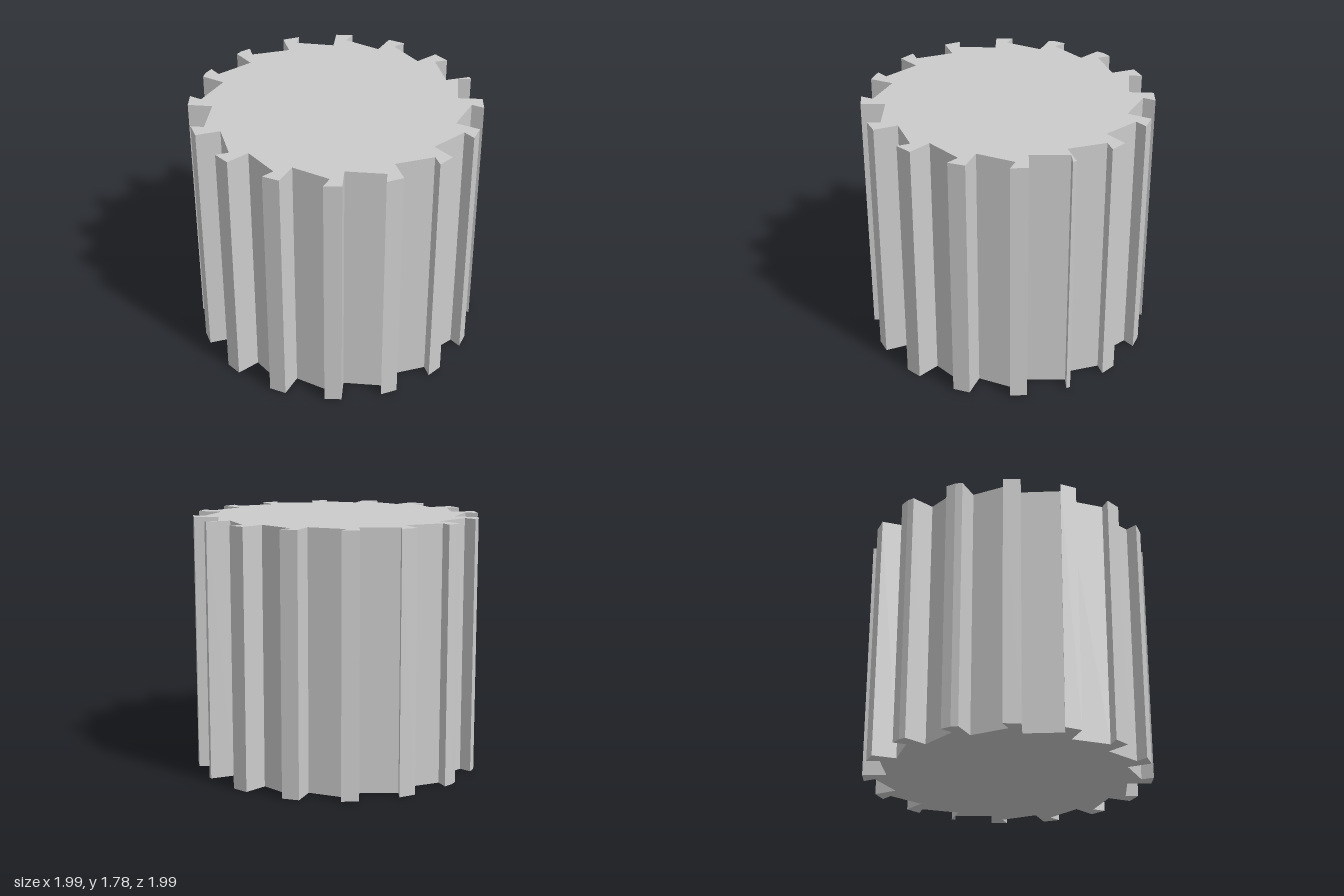
import * as THREE from 'three';

const HEIGHT = 1.78;
const TEETH = 16;
const START = 6.2;   // angle of the first tooth root, degrees
const STEP = 22.81;  // tooth pitch, slightly over a sixteenth of a turn

const polar = (r, deg) => {
  const a = THREE.MathUtils.degToRad(deg);
  return new THREE.Vector2(r * Math.cos(a), r * Math.sin(a));
};

// Outline of the gear: root, two tip corners and neck for each hooked tooth
function gearOutline() {
  const points = [];
  for (let i = 0; i < TEETH; i++) {
    const a = START + i * STEP;
    points.push(polar(0.834, a));
    if (i === TEETH - 1) {
      // the last tooth is cut to a sliver where the pitch runs out
      points.push(new THREE.Vector2(0.985, -0.178), new THREE.Vector2(0.99, -0.15), new THREE.Vector2(0.9, -0.168));
      continue;
    }
    points.push(polar(1.0, a + 1.4));
    if (i === 9 || i === 10) points.push(polar(1.008, a + 4.2)); // slightly crowned tips
    points.push(polar(1.0, a + 8.2), polar(0.918, a + 6.0));
  }
  return points;
}

export function createModel() {
  const group = new THREE.Group();
  group.name = 'toothedCylinder';

  // Toothed body extruded along the axis, then stood upright
  const geometry = new THREE.ExtrudeGeometry(new THREE.Shape(gearOutline()), {
    depth: HEIGHT,
    bevelEnabled: false,
  });
  geometry.rotateX(Math.PI / 2);
  geometry.translate(0, HEIGHT, 0);

  const body = new THREE.Mesh(
    geometry,
    new THREE.MeshStandardMaterial({ color: 0xcccccc, flatShading: true })
  );
  body.name = 'gearBody';
  group.add(body);
  return group;
}
